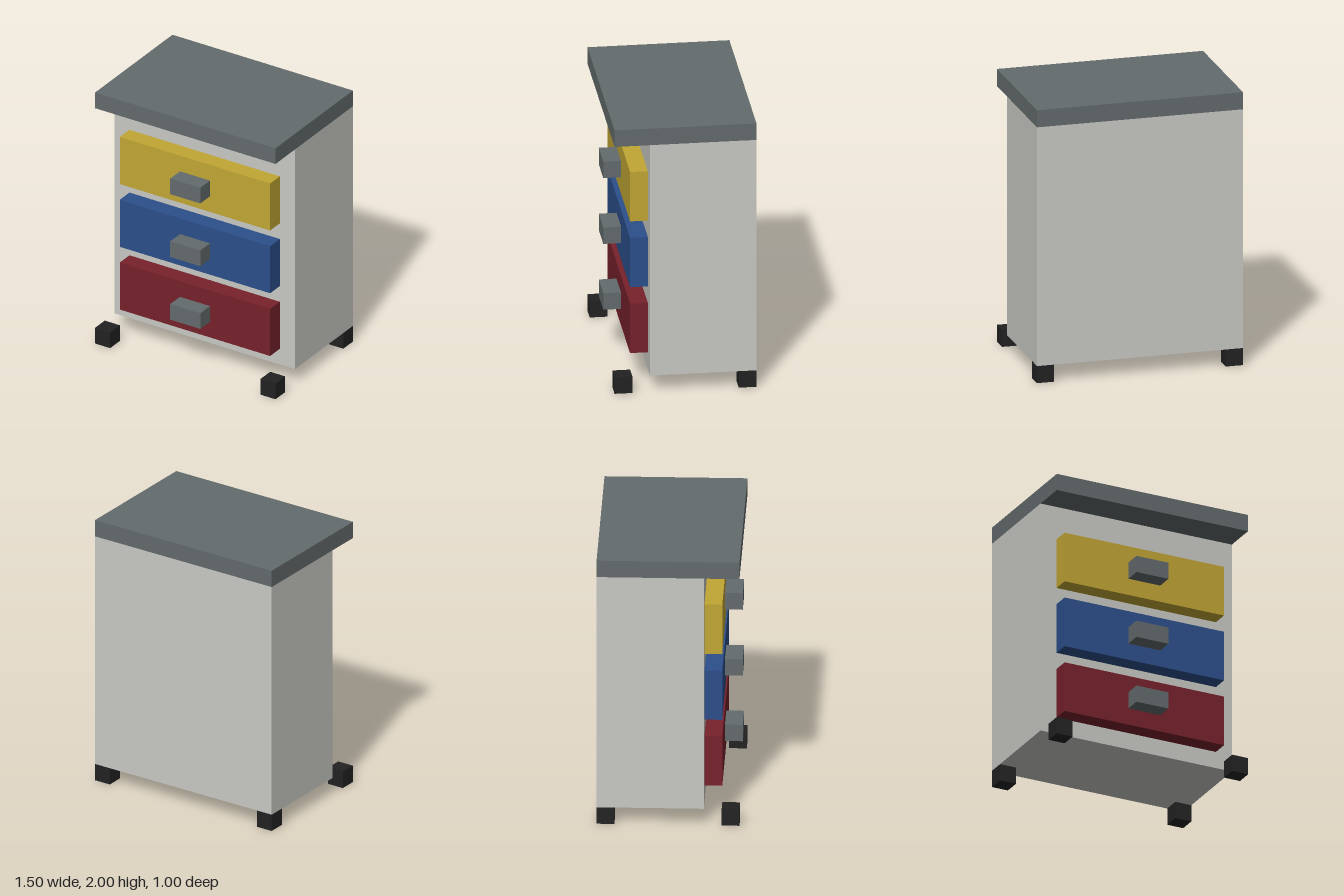
import * as THREE from 'three';

const paint = (name, color) => {
  const m = new THREE.MeshStandardMaterial({ color });
  m.name = name;
  return m;
};

export function createModel() {
  const cabinet = new THREE.Group();
  cabinet.name = 'drawerCabinet';

  const lightGrey = paint('lightGrey', 0xc9c9c4);
  const slateGrey = paint('slateGrey', 0x646b6d);
  const black = paint('black', 0x222222);
  const drawerColours = [
    paint('darkRed', 0x77212b),
    paint('blue', 0x2c4f8c),
    paint('yellow', 0xc2a734),
  ];

  // Box given by its size and the centre of its underside
  const box = (name, material, [w, h, d], [x, y, z], parent = cabinet) => {
    const mesh = new THREE.Mesh(new THREE.BoxGeometry(w, h, d), material);
    mesh.name = name;
    mesh.position.set(x, y + h / 2, z);
    parent.add(mesh);
  };

  // Carcass and overhanging worktop
  box('body', lightGrey, [1.5, 1.75, 0.75], [0, 0.125, -0.125]);
  box('worktop', slateGrey, [1.5, 0.125, 1], [0, 1.875, 0]);

  // Three drawers, bottom to top, each with a block handle
  drawerColours.forEach((material, i) => {
    const drawer = new THREE.Group();
    drawer.name = 'drawer' + (i + 1);
    drawer.position.y = 0.25 + i * 0.5;
    box('drawerFront', material, [1.25, 0.375, 0.125], [0, 0, 0.3125], drawer);
    box('drawerHandle', slateGrey, [0.25, 0.125, 0.125], [0, 0.125, 0.4375], drawer);
    cabinet.add(drawer);
  });

  // Feet under the four corners of the worktop
  for (const [side, x] of [['left', 0.6875], ['right', -0.6875]]) {
    for (const [end, z] of [['Front', 0.4375], ['Back', -0.4375]]) {
      box(side + end + 'Foot', black, [0.125, 0.125, 0.125], [x, 0, z]);
    }
  }

  return cabinet;
}
